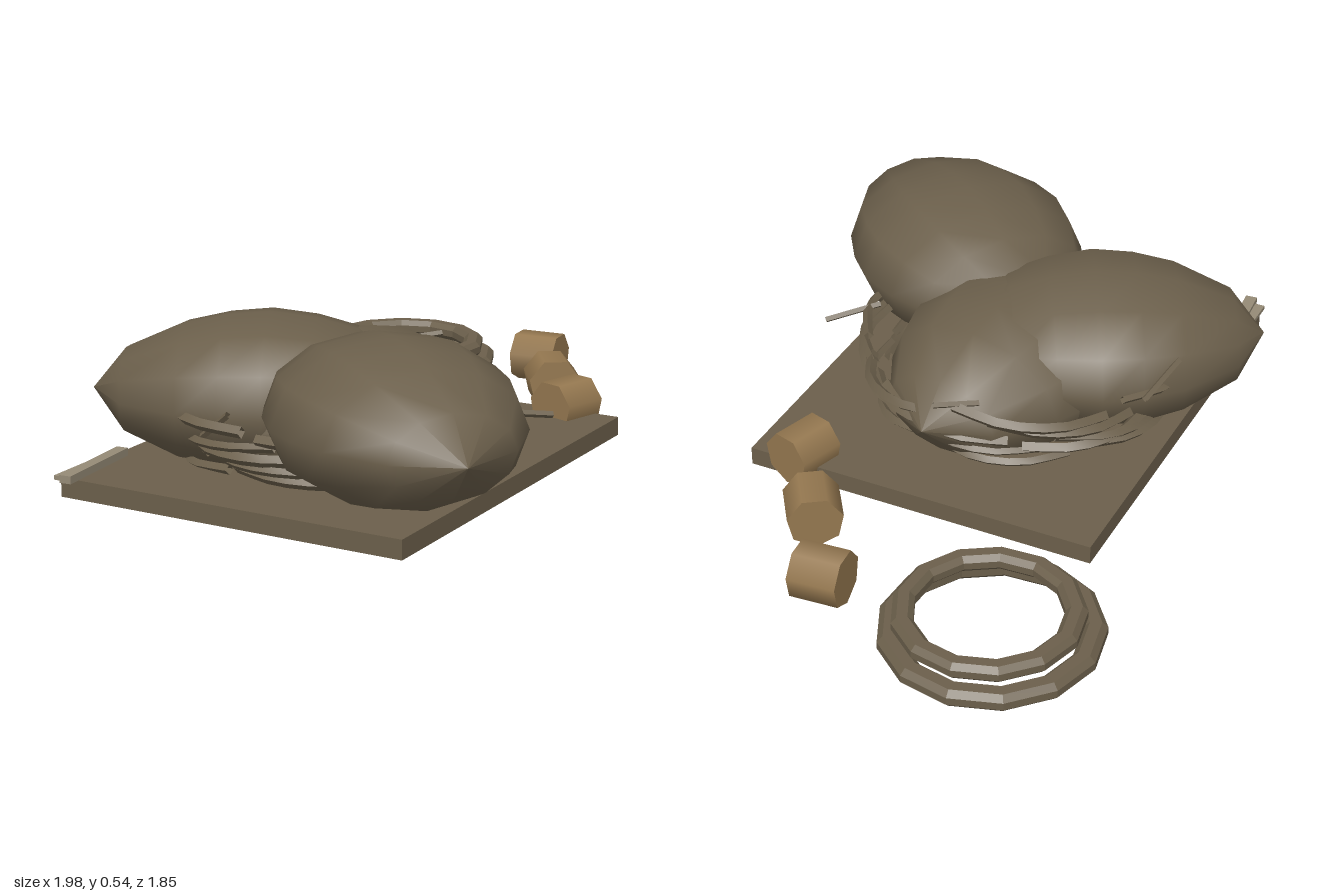
import * as THREE from 'three';
import { toCreasedNormals } from 'three/addons/utils/BufferGeometryUtils.js';

export function createModel() {
  const model = new THREE.Group();
  const brown = new THREE.MeshStandardMaterial({ color: 0x6b5f4b });
  brown.name = 'dull brown';
  const tan = new THREE.MeshStandardMaterial({ color: 0x957850 });
  tan.name = 'cork tan';
  const pale = new THREE.MeshStandardMaterial({ color: 0x958a76 });
  pale.name = 'pale grey brown';

  const add = (name, geometry, material, x, y, z, turn = 0) => {
    const mesh = new THREE.Mesh(geometry, material);
    mesh.name = name;
    mesh.position.set(x, y, z);
    mesh.rotation.y = turn;
    model.add(mesh);
    return mesh;
  };
  const v2 = ([x, y]) => new THREE.Vector2(x, y);

  // Board under everything
  add('board', new THREE.BoxGeometry(1.3, 0.055, 1.06), brown, -0.185, 0.088, 0.08, 0.3);

  // Three flattened eggs, each with one pointed end along its own +z
  const eggProfile = [[0, -0.39], [0.17, -0.36], [0.27, -0.25], [0.32, -0.13], [0.345, 0],
    [0.33, 0.12], [0.29, 0.24], [0.18, 0.405], [0, 0.5]].map(v2);
  const egg = new THREE.LatheGeometry(eggProfile, 12);
  egg.rotateX(Math.PI / 2);
  egg.scale(1, 0.65, 1);
  [
    ['frontEgg', -0.38, 0.315, 0.455, -0.36, 0.93],
    ['backEgg', -0.33, 0.275, -0.1, -0.7, -0.7],
    ['sideEgg', -0.18, 0.225, 0.06, 0.98, -0.15],
  ].forEach(([name, x, y, z, dx, dz]) => add(name, egg, brown, x, y, z, Math.atan2(dx, dz)));

  // Nest of overlapping bent straws
  let seed = 11;
  const random = () => (seed = (seed * 16807) % 2147483647) / 2147483647;
  const straw = (points, radius) => {
    const tube = new THREE.TubeGeometry(new THREE.CatmullRomCurve3(points), 7, radius, 4, false);
    return toCreasedNormals(tube, 0.6);
  };
  brown.side = THREE.DoubleSide;
  const nest = new THREE.Group();
  nest.name = 'nest';
  model.add(nest);
  const addStraw = (points, radius) => {
    const mesh = new THREE.Mesh(straw(points, radius), brown);
    mesh.name = 'straw';
    nest.add(mesh);
  };
  const count = 30;
  for (let i = 0; i < count; i++) {
    const start = (i / count) * Math.PI * 2;
    const low = 0.13 + (i % 5) * 0.033;
    const rise = (random() - 0.4) * 0.09;
    const points = [0, 0.33, 0.66, 1].map((t) => {
      const a = start + t * 0.95;
      const y = low + rise * t;
      const r = 0.41 + (y - 0.12) * 0.35 + 0.035 * Math.sin(t * Math.PI);
      return new THREE.Vector3(-0.2 + r * Math.cos(a), y, 0.06 + r * Math.sin(a));
    });
    addStraw(points, 0.012 + random() * 0.007);
  }
  // Loose straw ends sticking out
  [
    [-0.03, 0.27, 0.49, 0.12, 0.25, 0.57],
    [0.2, 0.32, -0.13, 0.31, 0.335, -0.06],
    [-0.3, 0.36, -0.44, -0.14, 0.31, -0.45],
    [-0.66, 0.22, 0.0, -0.65, 0.3, 0.1],
  ].forEach(([a, b, c, d, e, f]) =>
    addStraw([new THREE.Vector3(a, b, c), new THREE.Vector3(d, e, f)], 0.01));

  // Two stacked rings with bevelled sections
  const ring = (inner, outer, bottom, top) => {
    const h = (top - bottom) * 0.3, w = (outer - inner) * 0.25;
    const section = [[inner + w, bottom], [outer - w, bottom], [outer, bottom + h], [outer, top - h],
      [outer - w, top], [inner + w, top], [inner, top - h], [inner, bottom + h], [inner + w, bottom]];
    return toCreasedNormals(new THREE.LatheGeometry(section.map(v2), 13), 0.3);
  };
  add('lowerRing', ring(0.24, 0.305, 0.06, 0.115), brown, 0.685, 0, -0.63);
  add('upperRing', ring(0.2, 0.26, 0.112, 0.163), brown, 0.685, 0, -0.62);

  // Three short faceted pegs lying on their sides
  const peg = new THREE.CylinderGeometry(0.08, 0.08, 0.14, 7);
  peg.rotateX(Math.PI / 2);
  [
    [0.517, 0.255, Math.PI / 2],
    [0.69, 0.035, Math.atan2(-0.62, 0.78)],
    [0.872, -0.19, Math.atan2(0.37, 0.93)],
  ].forEach(([x, z, turn]) => add('peg', peg, tan, x, 0.142, z, turn));

  // Pale splinters at the board's corner
  add('splinter', new THREE.BoxGeometry(0.3, 0.022, 0.035), pale, -0.85, 0.127, -0.235, 0.38);
  add('splinter', new THREE.BoxGeometry(0.3, 0.012, 0.03), pale, -0.84, 0.121, -0.262, 0.3);

  return model;
}
